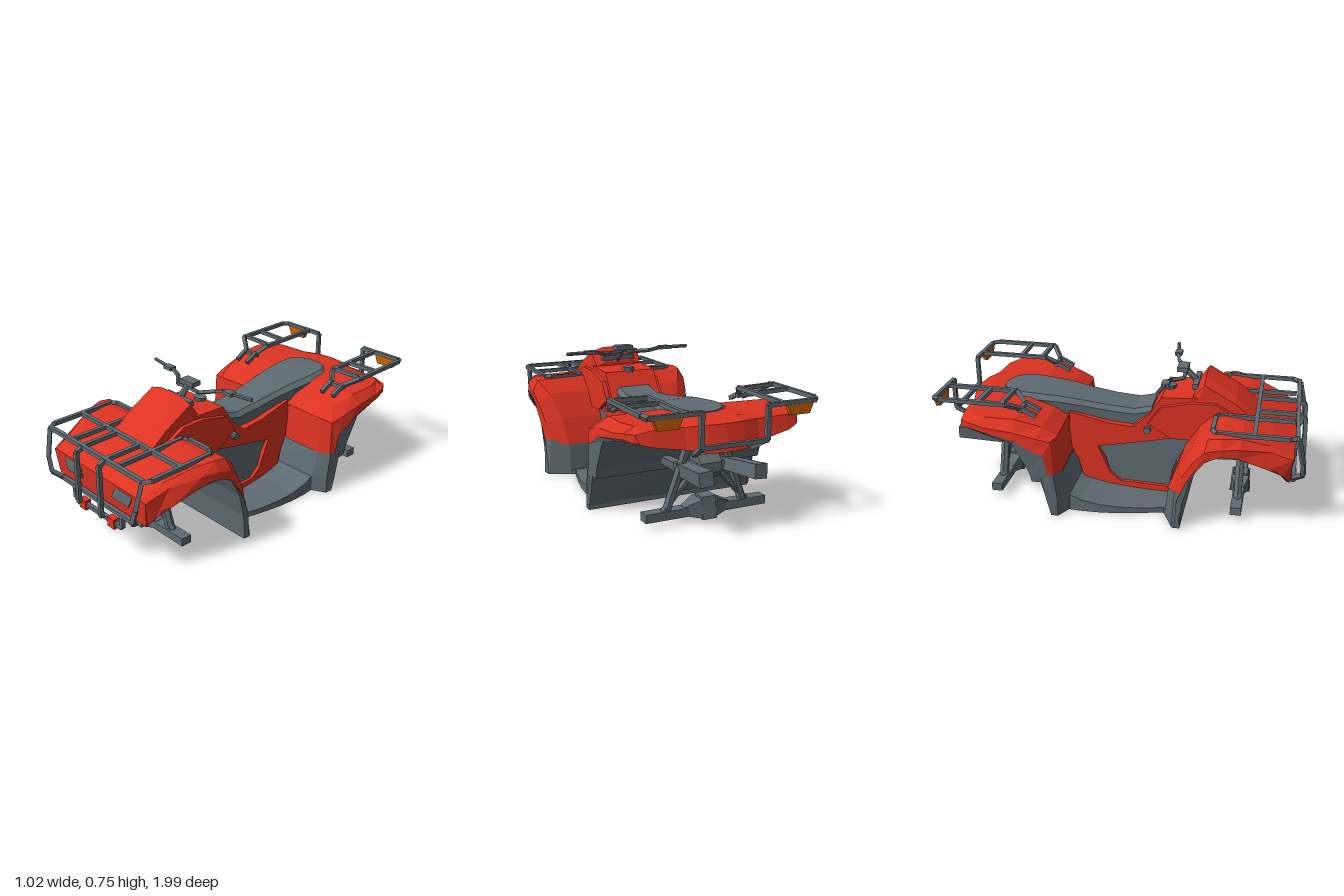
import * as THREE from 'three';
import { mergeGeometries } from 'three/addons/utils/BufferGeometryUtils.js';

const mat = (name, color) => Object.assign(
  new THREE.MeshStandardMaterial({ color, side: THREE.DoubleSide, flatShading: true }), { name });

// Sheet through mirrored half cross-sections of [x, y, z] points; caps close the two ends
function loft(halves, caps = false) {
  const rows = halves.map(h => [...h.slice(1).reverse().map(([x, y, z]) => [-x, y, z]), ...h]);
  const n = rows[0].length, index = [];
  for (let i = 0; i < rows.length - 1; i++)
    for (let j = 0; j < n - 1; j++) {
      const a = i * n + j, b = a + n;
      index.push(a, a + 1, b, b, a + 1, b + 1);
    }
  if (caps) for (const s of [0, (rows.length - 1) * n])
    for (let j = 1; j < n - 1; j++) index.push(s, s + j, s + j + 1);
  const g = new THREE.BufferGeometry();
  g.setAttribute('position', new THREE.Float32BufferAttribute(rows.flat(2), 3));
  g.setIndex(index);
  g.computeVertexNormals();
  return g;
}

// Side outline of [z, y] points given a width across x
function slab(points, width) {
  const s = new THREE.Shape(points.map(p => new THREE.Vector2(...p)));
  return new THREE.ExtrudeGeometry(s, { depth: width, bevelEnabled: false })
    .translate(0, 0, -width / 2).rotateY(-Math.PI / 2);
}

// Front outline of [x, y] points, mirrored by s, given a thickness along z
function plate(points, s, depth) {
  return new THREE.ExtrudeGeometry(new THREE.Shape(points.map(([x, y]) => new THREE.Vector2(s * x, y))),
    { depth, bevelEnabled: false });
}

// Tapering rod between two points
function rod(a, b, r1, r2 = r1, sides = 6) {
  const p = new THREE.Vector3(...a), q = new THREE.Vector3(...b), d = q.clone().sub(p);
  const g = new THREE.CylinderGeometry(r2, r1, d.length(), sides, 1, false, Math.PI / sides);
  g.applyQuaternion(new THREE.Quaternion().setFromUnitVectors(new THREE.Vector3(0, 1, 0), d.normalize()));
  return g.translate(...p.add(q).multiplyScalar(0.5).toArray());
}
const pipe = (pts, r = 0.0155) => mergeGeometries(pts.slice(1).map((p, i) => rod(pts[i], p, r, r, 4)));
const box = (w, h, d, x, y, z) => new THREE.BoxGeometry(w, h, d).translate(x, y, z);

export function createModel() {
  const red = mat('red bodywork', 0xdc3322), gray = mat('gray plastic', 0x5e6b71), orange = mat('orange lens', 0xc96206);
  const root = new THREE.Group();
  const add = (name, geo, m) => {
    const mesh = new THREE.Mesh(geo, m);
    mesh.name = name;
    root.add(mesh);
  };
  // Same part on both sides; make(s) receives s = 1 (left) or -1 (right)
  const pair = (name, make, m) => { add(name + 'Left', make(1), m); add(name + 'Right', make(-1), m); };

  // Front fender: nose, top, then down behind the wheel arch
  add('frontFender', loft([
    [[0, .28, .915], [.33, .28, .915], [.365, .28, .915], [.37, .285, .9]],
    [[0, .43, .93], [.36, .43, .93], [.385, .42, .925], [.4, .33, .88]],
    [[0, .49, .81], [.38, .49, .81], [.415, .47, .8], [.44, .38, .8]],
    [[0, .545, .66], [.44, .54, .66], [.485, .5, .65], [.485, .45, .65]],
    [[0, .56, .56], [.475, .55, .56], [.505, .5, .56], [.505, .46, .56]],
    [[0, .55, .5], [.475, .54, .49], [.51, .48, .48], [.505, .43, .49]],
    [[0, .47, .42], [.43, .47, .41], [.495, .41, .42], [.5, .36, .435]],
    [[0, .33, .34], [.38, .33, .33], [.475, .31, .365], [.49, .28, .39]],
    [[0, .19, .29], [.37, .18, .275], [.45, .2, .325], [.485, .21, .355]],
  ]), red);
  add('frontArchLiner', loft([
    [[0, .285, .91], [.36, .285, .91], [.37, .285, .9]],
    [[0, .36, .85], [.4, .36, .85], [.42, .36, .85]],
    [[0, .46, .63], [.475, .46, .63], [.49, .45, .65]],
    [[0, .46, .53], [.495, .46, .53], [.505, .45, .53]],
    [[0, .4, .46], [.495, .4, .46], [.503, .4, .45]],
    [[0, .29, .405], [.49, .29, .405], [.492, .28, .385]],
    [[0, .15, .37], [.485, .15, .37], [.488, .17, .34]],
    [[0, .005, .36], [.485, .005, .36], [.49, .005, .33]],
  ]), gray);
  // Mud flap under the rear edge of the front fender
  add('frontMudFlap', loft([
    [[0, .2, .295], [.36, .19, .28], [.455, .21, .325], [.485, .21, .355]],
    [[0, .005, .27], [.36, .005, .26], [.48, .005, .315], [.49, .005, .36]],
  ]), gray);

  // Rear fender: front wall, top and a tail that juts out in the middle
  add('rearFender', loft([
    [[0, .24, -.31], [.1, .24, -.31], [.2, .24, -.31], [.42, .24, -.30], [.48, .24, -.33], [.49, .24, -.36]],
    [[0, .45, -.33], [.1, .45, -.33], [.2, .45, -.33], [.41, .45, -.32], [.475, .44, -.34], [.5, .37, -.38]],
    [[0, .5, -.4], [.1, .5, -.4], [.2, .5, -.4], [.42, .5, -.4], [.49, .46, -.42], [.505, .39, -.44]],
    [[0, .55, -.54], [.1, .55, -.54], [.2, .55, -.54], [.45, .545, -.54], [.5, .49, -.54], [.505, .445, -.54]],
    [[0, .56, -.7], [.1, .56, -.7], [.2, .555, -.7], [.46, .55, -.7], [.5, .505, -.7], [.5, .475, -.7]],
    [[0, .56, -.83], [.1, .56, -.83], [.2, .55, -.82], [.43, .55, -.79], [.485, .52, -.79], [.485, .49, -.79]],
    [[0, .54, -.9], [.1, .54, -.89], [.2, .535, -.86], [.37, .535, -.85], [.45, .52, -.84], [.46, .48, -.83]],
    [[0, .41, -.935], [.1, .41, -.925], [.2, .43, -.89], [.38, .46, -.87], [.43, .475, -.855], [.44, .48, -.85]],
  ]), red);
  // Stepped liner of the rear arch, with a rim out to the fender lip
  add('rearArchLiner', loft([
    [[0, .005, -.34], [.485, .005, -.345], [.49, .005, -.33]],
    [[0, .2, -.4], [.485, .2, -.4], [.492, .2, -.35]],
    [[0, .2, -.45], [.485, .2, -.45], [.493, .26, -.36]],
    [[0, .26, -.465], [.487, .26, -.465], [.5, .37, -.38]],
    [[0, .42, -.55], [.49, .42, -.55], [.503, .445, -.53]],
    [[0, .475, -.72], [.485, .465, -.72], [.498, .48, -.71]],
    [[0, .48, -.85], [.43, .48, -.85], [.46, .485, -.83]],
  ]), gray);
  add('rearMudFlap', loft([
    [[0, .25, -.305], [.42, .25, -.295], [.485, .25, -.33], [.495, .25, -.4]],
    [[0, .1, -.265], [.41, .1, -.265], [.485, .1, -.31], [.495, .1, -.37]],
    [[0, .005, -.26], [.4, .005, -.26], [.485, .005, -.31], [.495, .005, -.345]],
  ]), gray);

  // Floor with bulging footboards that rise towards the rear wall
  const half = [[.48, .36], [.48, .32], [.335, .25], [.37, .12], [.395, 0], [.407, -.1], [.41, -.2], [.405, -.27],
    [.485, -.31], [.485, -.35]];
  const floor = new THREE.Shape([...half, ...half.map(([x, z]) => [-x, z]).reverse()].map(p => new THREE.Vector2(...p)));
  add('floor', new THREE.ExtrudeGeometry(floor, { depth: .027, bevelEnabled: false })
    .rotateX(Math.PI / 2).translate(0, .027, 0), gray);
  add('footboardRamp', loft([[.25, .335, .03], [.12, .37, .032], [0, .395, .04], [-.1, .407, .05], [-.2, .41, .07], [-.28, .405, .1]]
    .map(([z, w, y]) => [[0, y, z], [w, y, z], [w, .01, z]])), gray);

  // Central body
  add('engineCover', slab([[.38, .4], [.28, .37], [-.17, .29], [-.12, .21], [-.1, .14], [-.07, .06], [.25, .06],
    [.27, .18], [.3, .25]], .27), gray);
  add('sideBody', slab([[.4, .62], [.2, .61], [.13, .5], [.04, .42], [-.1, .43], [-.32, .48], [-.33, .24], [-.28, .2],
    [-.24, .06], [-.1, .03], [.25, .03], [.25, .065], [-.03, .07], [-.09, .12], [-.16, .28], [.13, .34], [.3, .38],
    [.4, .45]], .31), red);
  add('shoulderPanel', slab([[.63, .53], [.5, .6], [.37, .6], [.2, .56], [.13, .46], [.26, .38], [.36, .38], [.5, .5]], .36), red);
  add('hood', loft([
    [[0, .52, .72], [.1, .52, .72], [.155, .52, .71], [.155, .5, .71]],
    [[0, .62, .6], [.1, .62, .6], [.155, .605, .6], [.16, .5, .6]],
    [[0, .725, .43], [.08, .722, .43], [.155, .7, .43], [.16, .5, .43]],
    [[0, .64, .37], [.08, .64, .37], [.14, .62, .37], [.16, .5, .37]],
  ], true), red);
  pair('bodyBolt', s => rod([s * .15, .415, .125], [s * .185, .415, .125], .02, .02, 10), gray);
  add('fuelCap', rod([0, .6, .225], [0, .63, .225], .035, .035, 10), gray);

  // Seat: [z, half width, top, bottom]
  add('seat', loft([[.14, .115, .53, .43], [.04, .118, .505, .4], [-.1, .12, .515, .41], [-.25, .13, .535, .44],
    [-.38, .15, .555, .47], [-.55, .168, .568, .52], [-.64, .16, .572, .53], [-.7, .12, .57, .53], [-.735, .05, .565, .53]]
    .map(([z, w, t, b]) => [[0, t, z], [w * .8, t, z], [w, t - .025, z], [w * .97, b, z], [0, b, z]]), true), gray);

  // Handlebars and dash
  add('steeringColumn', rod([0, .62, .42], [0, .725, .31], .018), gray);
  add('handlebarClamp', box(.1, .025, .06, 0, .737, .295), gray);
  add('dash', box(.2, .03, .03, 0, .665, .375), gray);
  pair('handlebar', s => mergeGeometries([
    pipe([[0, .715, .31], [s * .08, .705, .31], [s * .15, .715, .25], [s * .21, .73, .235], [s * .28, .73, .23]], .012),
    rod([s * .27, .73, .23], [s * .385, .732, .215], .011),
    box(.06, .02, .04, s * .24, .73, .235)]), gray);

  // Headlights on the nose
  pair('headlight', s => plate([[.285, .415], [.15, .415], [.125, .35], [.26, .35]], s, .006)
    .translate(0, -.38, 0).rotateX(-.1).translate(0, .38, .927), gray);

  // Front rack and bumper
  add('frontRackBars', mergeGeometries([
    pipe([[-.41, .55, .72], [.41, .55, .72]]), pipe([[-.39, .55, .935], [.39, .55, .935]]),
    pipe([[-.31, .28, .935], [.31, .28, .935]]), pipe([[-.2, .205, .935], [.2, .205, .935]])]), gray);
  pair('frontRack', s => mergeGeometries([
    pipe([[s * .19, .55, .92], [s * .19, .55, .52], [s * .22, .55, .505], [s * .38, .55, .505], [s * .41, .55, .53],
      [s * .41, .55, .9], [s * .385, .545, .94], [s * .37, .4, .975], [s * .345, .32, .98], [s * .31, .28, .935]]),
    pipe([[s * .095, .55, .72], [s * .095, .55, .93], [s * .095, .53, .975], [s * .095, .24, .985]]),
    pipe([[s * .2, .29, .935], [s * .2, .205, .935]])]), gray);
  pair('towLug', s => box(.055, .055, .036, s * .122, .202, .934), red);

  // Rear racks with marker lights
  add('rearRackCrossbar', pipe([[-.18, .46, -.983], [.18, .46, -.983]]), gray);
  pair('rearRack', s => mergeGeometries([
    pipe([[s * .18, .63, -.983], [s * .45, .63, -.983], [s * .467, .635, -.95], [s * .467, .635, -.58],
      [s * .39, .585, -.525], [s * .385, .545, -.44]]),
    pipe([[s * .265, .63, -.983], [s * .265, .63, -.58], [s * .305, .585, -.525], [s * .305, .545, -.44]]),
    pipe([[s * .265, .63, -.73], [s * .467, .635, -.73]]), pipe([[s * .265, .63, -.6], [s * .467, .635, -.6]]),
    pipe([[s * .29, .575, -.525], [s * .4, .575, -.525]]),
    pipe([[s * .18, .63, -.983], [s * .18, .46, -.983], [s * .16, .4, -.88]])]), gray);
  pair('markerLight', s => plate([[.282, .622], [.432, .622], [.41, .57], [.302, .57]], s, .026)
    .translate(0, 0, -.996), orange);

  // Axles with hub, differential and struts
  for (const [name, z, top] of [['front', .645, .44], ['rear', -.71, .41]]) {
    add(name + 'Axle', box(.69, .045, .06, 0, .058, z), gray);
    add(name + 'Hub', slab([[z - .057, .015], [z + .057, .015], [z + .04, .13], [z - .04, .13]], .08), gray);
    add(name + 'Differential', rod([-.06, .285, z], [.06, .285, z], .067, .067, 8), gray);
    pair(name + 'HubFlare', s => rod([s * .125, .06, z], [s * .038, .07, z], .032, .072, 4), gray);
    pair(name + 'Strut', s => mergeGeometries([
      rod([s * .24, .07, z], [s * .06, .27, z], .018), rod([s * .22, .07, z], [s * .1, top, z], .025)]), gray);
  }
  // Exhausts and the beam joining them
  pair('exhaust', s => mergeGeometries([rod([s * .1, .255, -.42], [s * .12, .275, -.66], .028, .034, 4),
    rod([s * .12, .275, -.66], [s * .15, .308, -.985], .044, .052, 4)]), gray);
  add('exhaustBeam', box(.26, .05, .07, 0, .28, -.7), gray);

  return root;
}
